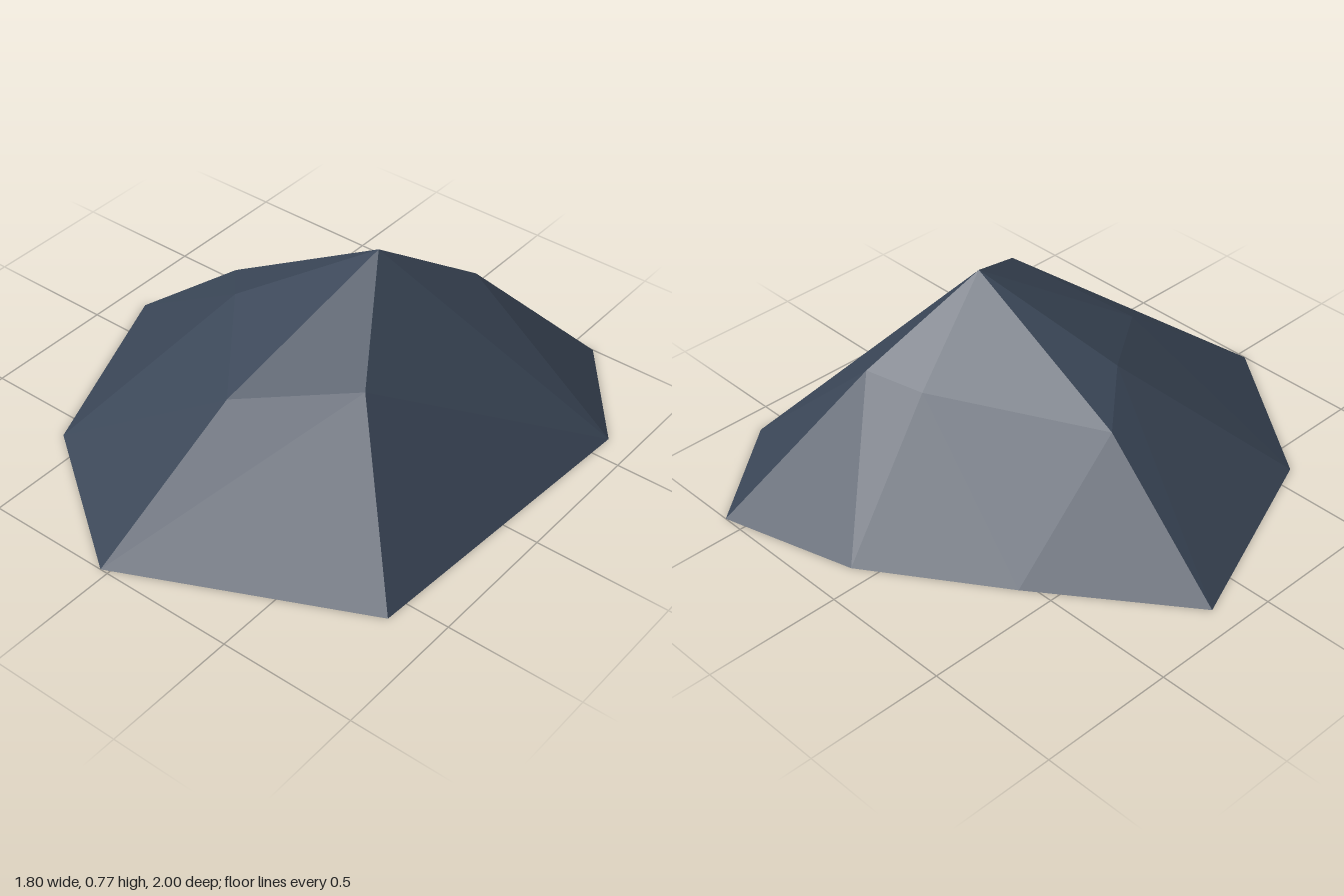
import * as THREE from 'three';
import { ConvexGeometry } from 'three/addons/geometries/ConvexGeometry.js';

// One faceted boulder: a ground outline, a ring of shoulder corners and a peak
export function createModel() {
  const outline = [
    [-0.9, -0.16], [-0.6, 0.59], [-0.03, 1], [0.83, 0.59],
    [0.9, -0.6], [0.58, -1], [0.08, -0.86], [-0.39, -0.54],
  ].map(([x, z]) => new THREE.Vector3(x, 0, z));

  const shoulders = [
    [-0.39, 0.42, -0.11], [-0.22, 0.505, 0.09], [0.05, 0.405, 0.45],
    [0.48, 0.54, 0.27], [0.35, 0.505, -0.53], [0.16, 0.47, -0.45], [-0.1, 0.44, -0.28],
  ].map((p) => new THREE.Vector3(...p));

  const peak = new THREE.Vector3(0.23, 0.775, -0.12);

  const slate = new THREE.MeshStandardMaterial({ color: 0x3b4758, flatShading: true });
  slate.name = 'slate';

  const rock = new THREE.Mesh(new ConvexGeometry([...outline, ...shoulders, peak]), slate);
  rock.name = 'rock';

  const group = new THREE.Group();
  group.name = 'boulder';
  group.add(rock);
  return group;
}
